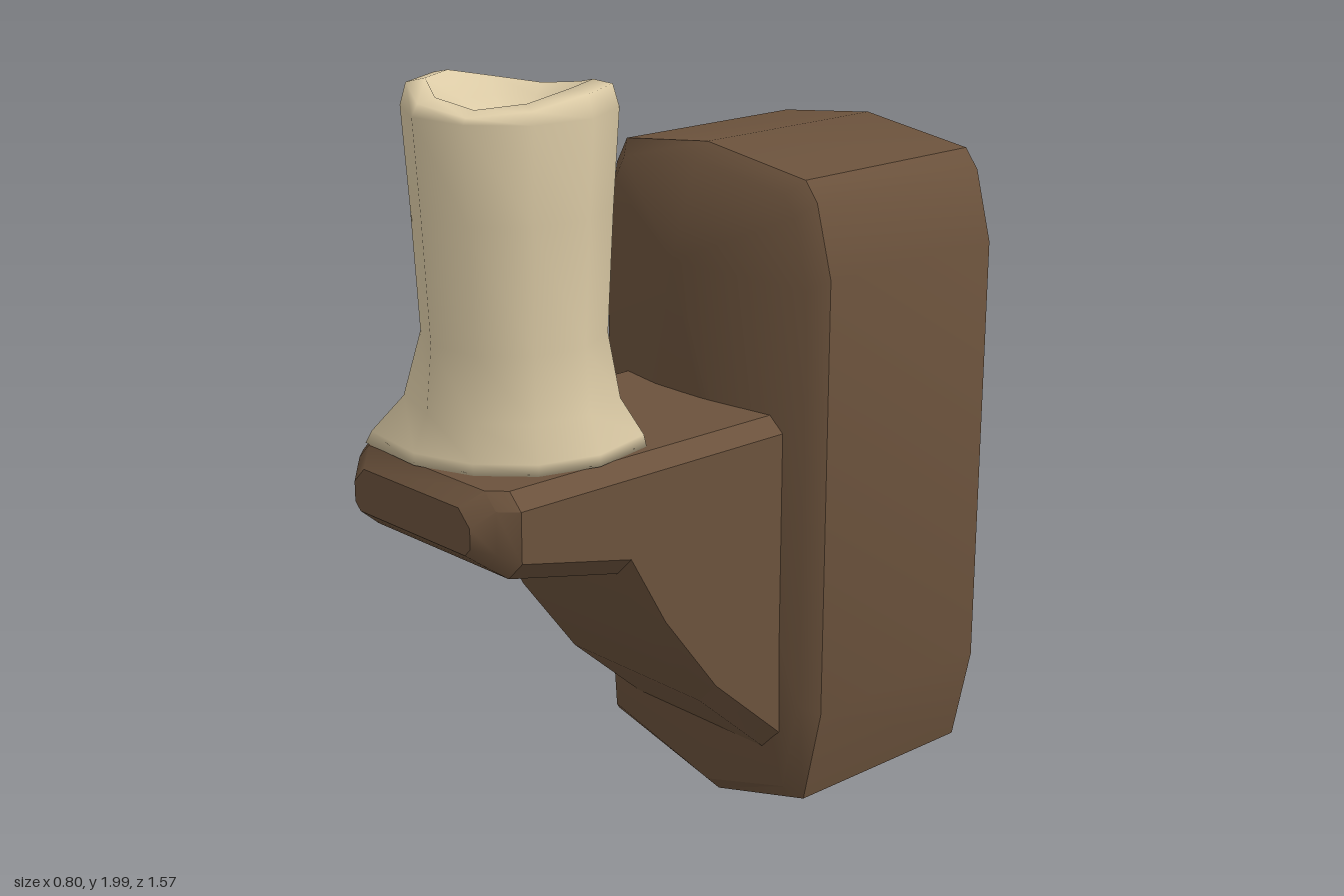
import * as THREE from 'three';
import { mergeVertices, toCreasedNormals } from 'three/addons/utils/BufferGeometryUtils.js';

// Skin cross-sections (counter-clockwise in x,y, with z rising) and close both ends with fans.
function loft(rings, backTip, frontTip, crease) {
  const n = rings[0].length;
  const pos = [...rings.flat(2), ...backTip, ...frontTip];
  const back = rings.length * n, front = back + 1, last = (rings.length - 1) * n;
  const index = [];
  for (let j = 0; j < n; j++) {
    const k = (j + 1) % n;
    for (let i = 0; i < rings.length - 1; i++) {
      const a = i * n + j, b = i * n + k;
      index.push(a, b, b + n, a, b + n, a + n);
    }
    index.push(back, k, j, front, last + j, last + k);
  }
  const g = new THREE.BufferGeometry();
  g.setAttribute('position', new THREE.Float32BufferAttribute(pos, 3));
  g.setIndex(index);
  return toCreasedNormals(g, crease);
}

export function createModel() {
  const wood = new THREE.MeshStandardMaterial({ color: 0x6b523c });
  wood.name = 'brown wood';
  const wax = new THREE.MeshStandardMaterial({ color: 0xdccba6 });
  wax.name = 'cream wax';
  const group = new THREE.Group();
  const add = (name, geometry, material) => {
    const mesh = new THREE.Mesh(geometry, material);
    mesh.name = name;
    group.add(mesh);
  };

  // Thick wall block with a hewn outline, softened rims and a slight bulge at the front
  const outline = [
    [0.03, 0], [0.345, 0.085], [0.4, 0.34], [0.4, 1.48], [0.35, 1.66], [0.31, 1.71],
    [-0.03, 1.755], [-0.33, 1.72], [-0.37, 1.65], [-0.4, 1.48], [-0.4, 0.4], [-0.375, 0.1],
  ];
  const blockRing = (z, inset) => outline.map(([x, y]) =>
    [x * (1 - inset / 0.4), 0.88 + (y - 0.88) * (1 - inset / 0.88), z]);
  add('wallBlock', loft(
    [blockRing(-0.78, 0.015), blockRing(-0.765, 0), blockRing(-0.18, 0), blockRing(-0.14, 0.04)],
    [0, 0.88, -0.78], [-0.06, 1.46, -0.085], 0.75), wood);

  // Shelf and curved bracket in one piece: chamfered sections [z, half width, top, bottom, chamfer]
  const sections = [
    [-0.16, 0.3, 1.12, 0.19, 0.06], [0.09, 0.3, 1.12, 0.41, 0.06],
    [0.26, 0.3, 1.12, 0.63, 0.06], [0.37, 0.3, 1.12, 0.83, 0.05],
    [0.7, 0.3, 1.12, 0.905, 0.05], [0.74, 0.26, 1.12, 0.935, 0.04],
    [0.785, 0.22, 1.08, 0.97, 0.02],
  ];
  const shelfRings = sections.map(([z, w, t, b, c]) => [
    [w - c, b], [w, b + c], [w, t - 0.04], [w - 0.04, t],
    [0.04 - w, t], [-w, t - 0.04], [-w, b + c], [c - w, b],
  ].map(([x, y]) => [x - 0.005, y, z]));
  add('shelfBracket', loft(shelfRings, [0, 0.65, -0.16], [0, 1.025, 0.785], 0.6), wood);

  // Candle: lathed tube with a hollow top, pulled into two dripping corners at the foot
  const profile = [
    [0, 1.12], [0.24, 1.12], [0.245, 1.15], [0.225, 1.24], [0.22, 1.4], [0.235, 1.7],
    [0.25, 1.93], [0.235, 1.965], [0.19, 1.975], [0.15, 1.93], [0.1, 1.89], [0, 1.87],
  ].map(([r, y]) => new THREE.Vector2(r, y));
  let candle = new THREE.LatheGeometry(profile, 10, -Math.PI / 4);
  candle.deleteAttribute('uv');
  candle.deleteAttribute('normal');
  const p = candle.attributes.position;
  for (let i = 0; i < p.count; i++) {
    let x = p.getX(i), y = p.getY(i), z = p.getZ(i);
    const r = Math.hypot(x, z), a = Math.atan2(x, z);
    if (r > 0.2 && y < 1.3) {
      const along = Math.cos(a + Math.PI / 4);
      const reach = (along > 0 ? 0.12 : 0.07) * Math.abs(along) ** 6 * (1.3 - y) / 0.18;
      x *= 1 + reach / r;
      z *= 1 + reach / r;
    }
    if (y > 1.95) y += 0.022 * Math.cos(2 * a + 2.2);
    p.setXYZ(i, x + 0.01, y, z + 0.48);
  }
  candle = mergeVertices(candle, 1e-4);
  candle.computeVertexNormals();
  add('candle', candle, wax);

  return group;
}
